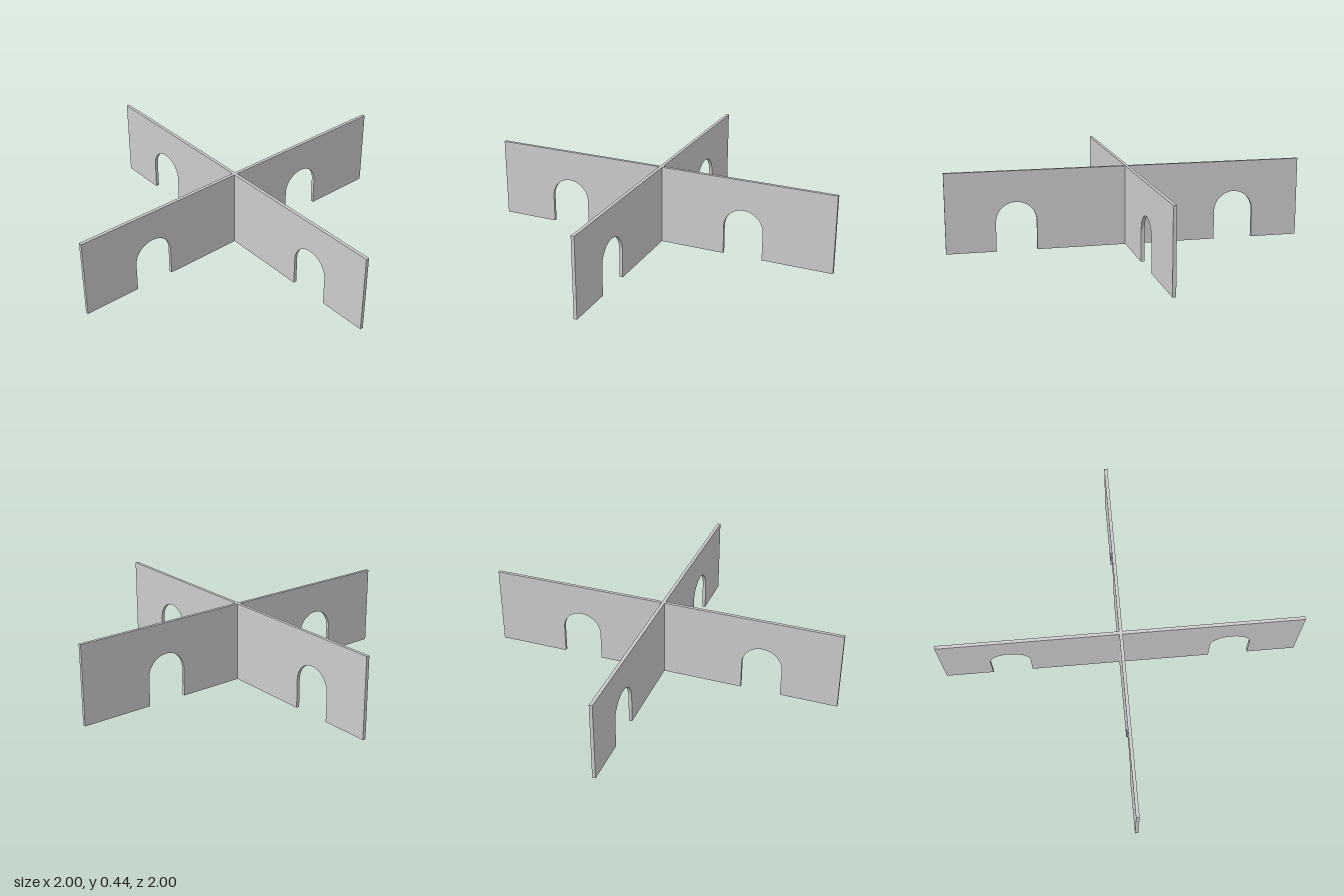
import * as THREE from 'three';
import { toCreasedNormals } from 'three/addons/utils/BufferGeometryUtils.js';

const HEIGHT = 0.445, THICKNESS = 0.018;
const ARCH_RADIUS = 0.112, ARCH_SPRING = 0.16;

// Upright board along x, with an arched opening cut into its lower edge at each centre
function panelGeometry(archCentres) {
  const shape = new THREE.Shape();
  shape.moveTo(-1, 0);
  for (const c of archCentres) {
    shape.lineTo(c - ARCH_RADIUS, 0);
    shape.lineTo(c - ARCH_RADIUS, ARCH_SPRING);
    shape.absarc(c, ARCH_SPRING, ARCH_RADIUS, Math.PI, 0, true);
    shape.lineTo(c + ARCH_RADIUS, 0);
  }
  shape.lineTo(1, 0);
  shape.lineTo(1, HEIGHT);
  shape.lineTo(-1, HEIGHT);
  shape.closePath();

  const geometry = new THREE.ExtrudeGeometry(shape, {
    depth: THICKNESS, bevelEnabled: false, curveSegments: 20,
  });
  geometry.translate(0, 0, -THICKNESS / 2);
  return toCreasedNormals(geometry, Math.PI / 6);
}

export function createModel() {
  const model = new THREE.Group();
  model.name = 'crossedPanels';
  const material = new THREE.MeshStandardMaterial({ color: 0xcccccc });

  // Panel running left to right
  const crossPanel = new THREE.Mesh(panelGeometry([-0.57, 0.49]), material);
  crossPanel.name = 'crossPanel';

  // Panel running back to front (its local +x becomes +z)
  const lengthPanel = new THREE.Mesh(panelGeometry([-0.62, 0.615]), material);
  lengthPanel.name = 'lengthPanel';
  lengthPanel.rotation.y = -Math.PI / 2;

  model.add(crossPanel, lengthPanel);
  return model;
}
